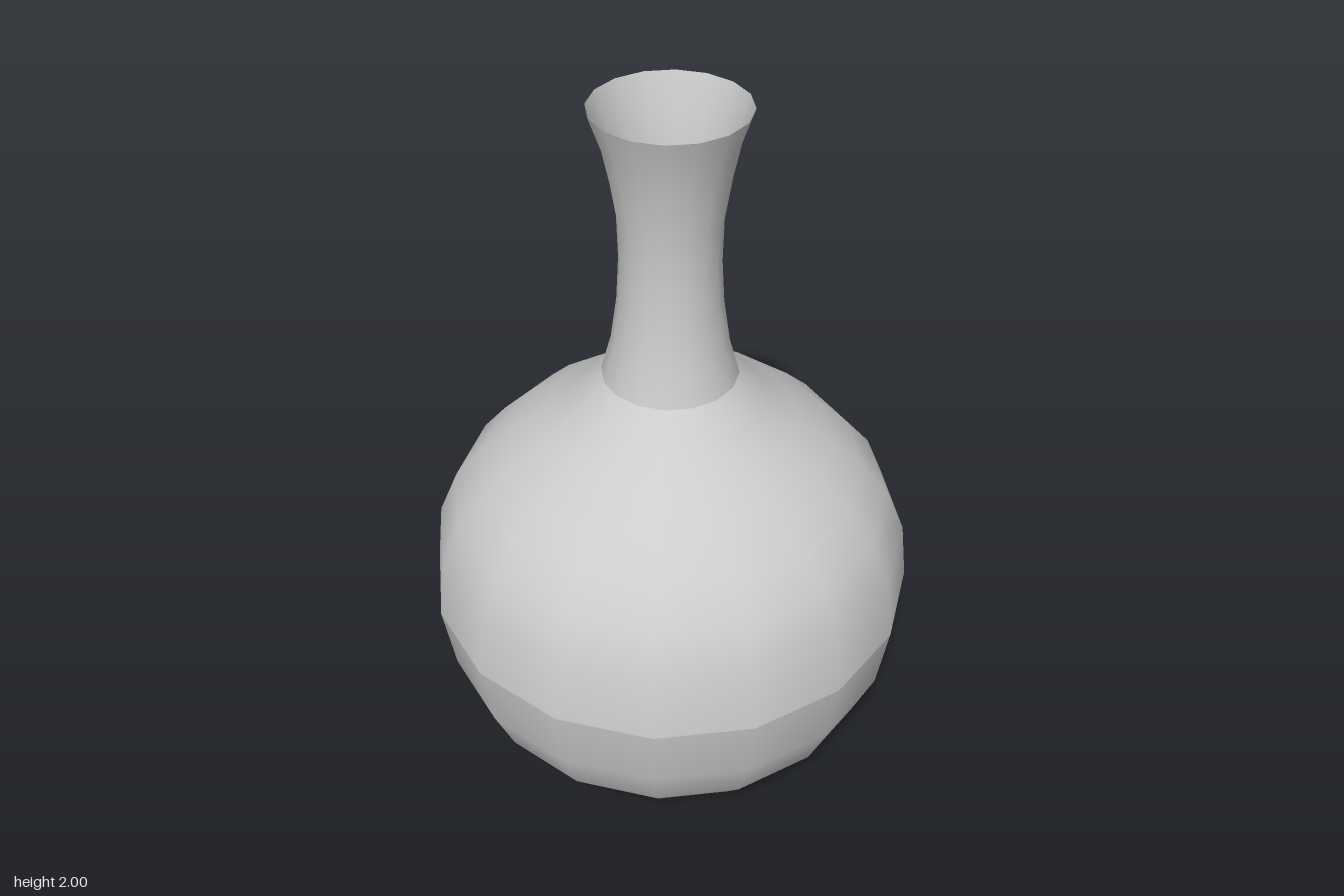
import * as THREE from 'three';

const SIDES = 16;

export function createModel() {
  const group = new THREE.Group();
  group.name = 'flask';
  const material = new THREE.MeshStandardMaterial({ color: 0xcccccc, side: THREE.DoubleSide });

  // Profiles are [radius, height] from bottom to top
  const addLathe = (name, profile) => {
    const points = profile.map(([r, y]) => new THREE.Vector2(r, y));
    const mesh = new THREE.Mesh(new THREE.LatheGeometry(points, SIDES), material);
    mesh.name = name;
    group.add(mesh);
  };

  // Rounded base up to the widest ring, where the shading breaks
  addLathe('lowerBody', [
    [0, 0], [0.16, 0.003], [0.32, 0.016], [0.425, 0.045],
    [0.52, 0.106], [0.595, 0.2], [0.655, 0.347], [0.685, 0.545],
  ]);

  // Shoulder curving in to the foot of the neck
  addLathe('upperBody', [
    [0.685, 0.545], [0.665, 0.715], [0.61, 0.845], [0.535, 0.935],
    [0.45, 1.015], [0.345, 1.09], [0.26, 1.155], [0.185, 1.237],
  ]);

  // Waisted neck flaring to an open, thin rim
  addLathe('neck', [
    [0.185, 1.237], [0.157, 1.34], [0.14, 1.46], [0.133, 1.58],
    [0.136, 1.7], [0.154, 1.815], [0.174, 1.91], [0.205, 2],
  ]);

  return group;
}
